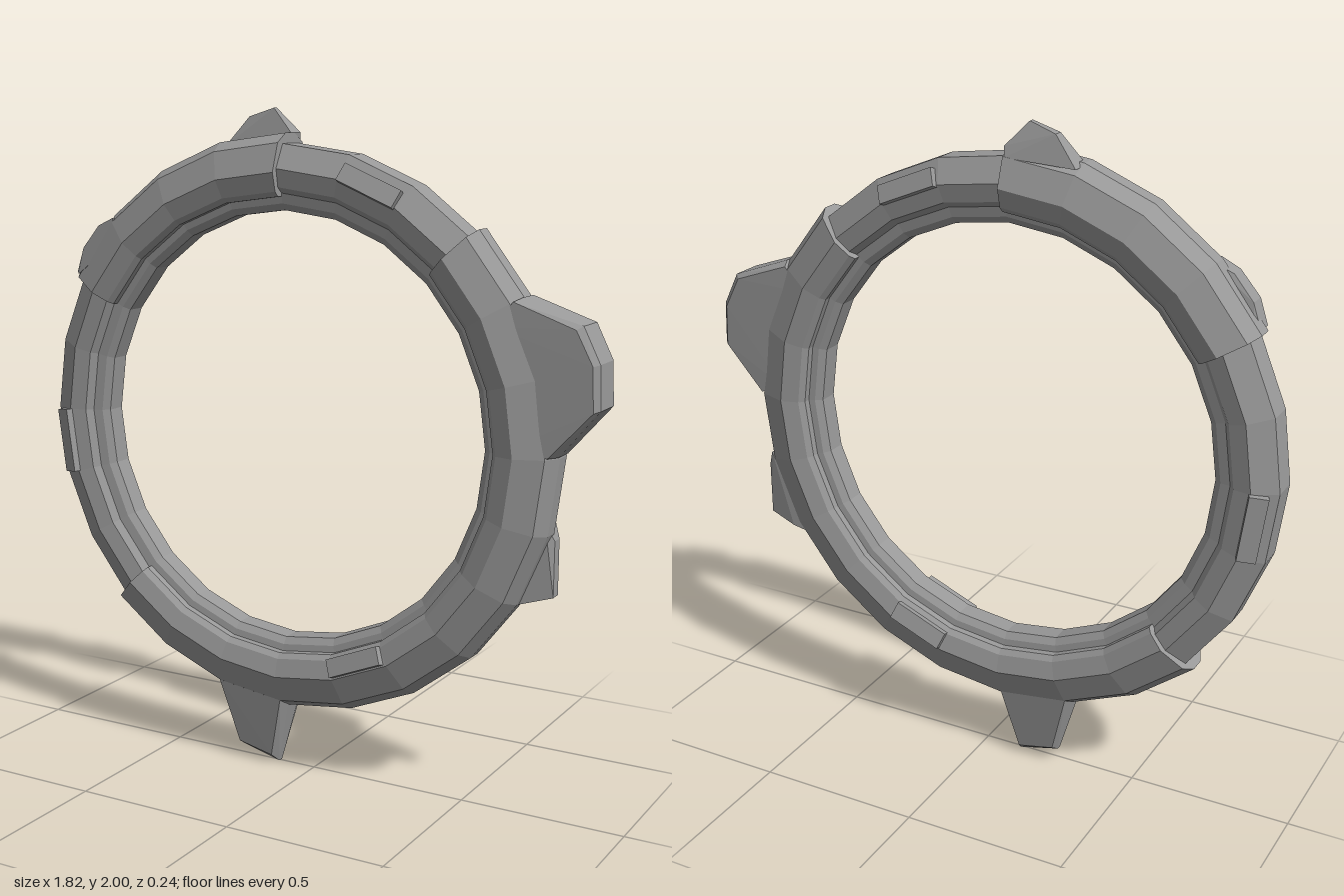
import * as THREE from 'three';
import { ConvexGeometry } from 'three/addons/geometries/ConvexGeometry.js';

const CX = -0.08, CY = 1.065, STEP = Math.PI / 12;
const rad = THREE.MathUtils.degToRad;

// Mirrors a half section [radius, z] (inside to outside) into a closed loop.
const section = (half) => [
  ...half.map(([r, z]) => [r, -z]),
  ...half.slice().reverse(),
];

// Sweeps a closed section around the ring centre in 15 degree steps.
function sweep(loop, fromDeg, toDeg) {
  const pos = [];
  const a0 = rad(fromDeg), n = Math.round((toDeg - fromDeg) / 15);
  const at = (i, j) => {
    const [r, z] = loop[j % loop.length], a = a0 + i * STEP;
    return [CX + r * Math.cos(a), CY + r * Math.sin(a), z];
  };
  const tri = (a, b, c) => pos.push(...a, ...b, ...c);
  for (let i = 0; i < n; i++) {
    for (let j = 0; j < loop.length; j++) {
      const a = at(i, j), b = at(i + 1, j), c = at(i + 1, j + 1), d = at(i, j + 1);
      tri(a, b, c);
      tri(a, c, d);
    }
  }
  // End caps, unless the sweep closes on itself
  if (toDeg - fromDeg < 360) {
    for (let j = 1; j < loop.length - 1; j++) {
      tri(at(0, 0), at(0, j), at(0, j + 1));
      tri(at(n, 0), at(n, j + 1), at(n, j));
    }
  }
  const g = new THREE.BufferGeometry();
  g.setAttribute('position', new THREE.Float32BufferAttribute(pos, 3));
  g.computeVertexNormals();
  return g;
}

// Convex solid from rows of [x, y, zMin, zMax].
const hull = (rows) => new ConvexGeometry(rows.flatMap(([x, y, z0, z1]) =>
  [new THREE.Vector3(x, y, z0), new THREE.Vector3(x, y, z1)]));

// As above, symmetric about z = 0: rows of [x, y, halfDepth].
const symHull = (rows) => hull(rows.map(([x, y, h]) => [x, y, -h, h]));

export function createModel() {
  const model = new THREE.Group();
  model.name = 'ring';
  const material = new THREE.MeshStandardMaterial({ color: 0x999999, flatShading: true });
  const add = (name, geometry, parent = model) => {
    const mesh = new THREE.Mesh(geometry, material);
    mesh.name = name;
    parent.add(mesh);
    return mesh;
  };

  // Slim ring running all the way round, stepped down to a thin inner lip
  const slim = section([
    [0.645, 0.03], [0.665, 0.045], [0.695, 0.05], [0.712, 0.07], [0.765, 0.08], [0.835, 0.042],
  ]);
  add('innerRing', sweep(slim, 0, 360));

  // Thicker sleeves over part of the ring
  const thick = section([[0.685, 0.07], [0.7, 0.085], [0.755, 0.1], [0.838, 0.07], [0.865, 0.025]]);
  add('largeSleeve', sweep(thick, -135, 45));
  add('smallSleeve', sweep(thick, 90, 150));

  // Tapered tooth at the bottom
  add('bottomTooth', symHull([
    [-0.3, 0.26, 0.07], [-0.08, 0.23, 0.07], [-0.28, 0.25, 0.035], [-0.075, 0.2, 0.03],
    [-0.245, 0.055, 0.04], [-0.13, 0.03, 0.04], [-0.25, 0.035, 0.008], [-0.12, 0.002, 0.008],
  ]));

  // Broad lug on the side
  add('sideLug', symHull([
    [0.6, 1.42, 0.075], [0.68, 1.1, 0.075], [0.655, 1.49, 0.07], [0.67, 1.5, 0.035],
    [0.765, 1.07, 0.07], [0.785, 1.07, 0.035],
    [0.835, 1.425, 0.066], [0.885, 1.33, 0.066], [0.89, 1.205, 0.066],
    [0.85, 1.435, 0.05], [0.9, 1.335, 0.05], [0.905, 1.21, 0.05],
  ]));

  // Thin fins, each set off from the middle plane
  add('lowerFin', hull([
    [0.74, 0.87, -0.07, 0.005], [0.62, 0.62, -0.07, 0.005], [0.67, 0.63, -0.07, 0.005],
    [0.76, 0.82, -0.055, -0.02], [0.76, 0.655, -0.055, -0.02],
  ]));
  add('topFin', hull([
    [-0.3, 1.89, -0.07, 0], [-0.085, 1.9, -0.07, 0], [-0.08, 1.93, -0.06, -0.005],
    [-0.23, 1.975, -0.05, -0.02], [-0.145, 2.0, -0.035, -0.018],
  ]));
  add('upperFin', hull([
    [-0.67, 1.67, 0, 0.07], [-0.8, 1.495, -0.005, 0.075], [-0.66, 1.6, 0, 0.07],
    [-0.73, 1.645, 0.01, 0.06], [-0.79, 1.575, 0.005, 0.06], [-0.815, 1.5, 0.005, 0.06],
  ]));

  // Clip plates on both faces: angle, radius, z, length, tilt
  const clips = [
    ['upperClip', 67.5, 0.78, 0.073, 0.19, 0.4],
    ['sideClip', 187.5, 0.78, 0.073, 0.2, 0.4],
    ['lowerClip', 292.5, 0.715, 0.098, 0.18, -0.3],
  ];
  for (const [name, deg, r, z, length, tilt] of clips) {
    const pair = new THREE.Group();
    pair.name = name;
    pair.position.set(CX, CY, 0);
    pair.rotation.z = rad(deg);
    for (const side of [1, -1]) {
      const plate = add('clipPlate', new THREE.BoxGeometry(0.055, length, 0.03), pair);
      plate.position.set(r, 0, side * z);
      plate.rotation.y = side * tilt;
    }
    model.add(pair);
  }
  return model;
}
